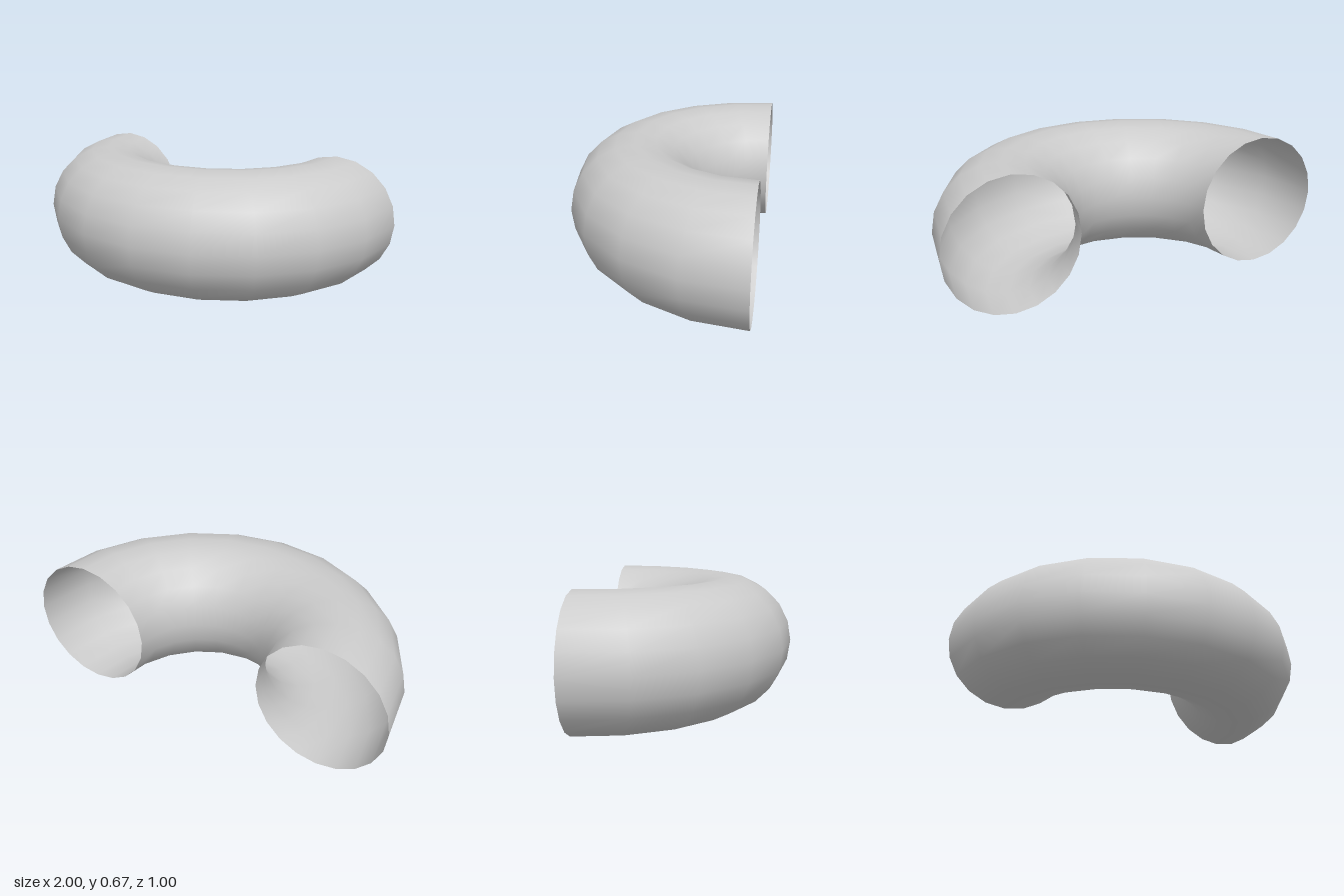
import * as THREE from 'three';

export function createModel() {
  const group = new THREE.Group();
  group.name = 'halfRing';

  const ringRadius = 2 / 3;
  const tubeRadius = 1 / 3;

  // Open-ended half torus: 20 sides round the tube, 10 steps along the bend
  const geometry = new THREE.TorusGeometry(ringRadius, tubeRadius, 20, 10, Math.PI);
  geometry.rotateX(Math.PI / 2); // lay it flat, bend towards +z
  geometry.translate(0, tubeRadius, -0.5);

  const material = new THREE.MeshStandardMaterial({ color: 0xcccccc, side: THREE.DoubleSide });
  const tube = new THREE.Mesh(geometry, material);
  tube.name = 'curvedTube';
  group.add(tube);

  return group;
}
